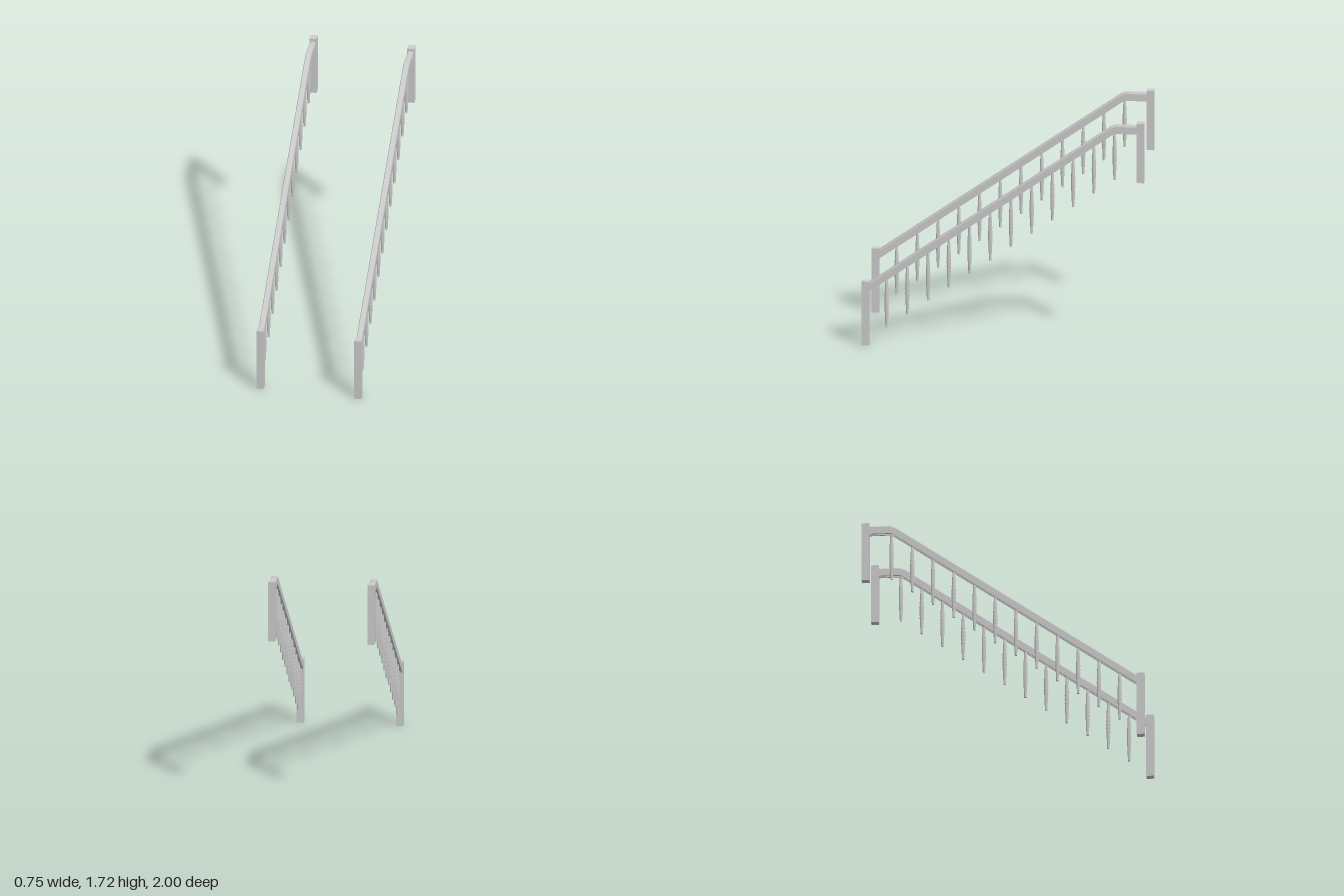
import * as THREE from 'three';
import { toCreasedNormals } from 'three/addons/utils/BufferGeometryUtils.js';

const SIDE_X = 0.351;
const SPINDLES = 12;
const material = new THREE.MeshStandardMaterial({ color: 0xcccccc });

// Underside of the rail, front to back: [z, y]
const railPath = [[0.96, 0.39], [-0.765, 1.622], [-0.78, 1.632], [-0.80, 1.64], [-0.96, 1.64]];

// Half of the rail section from the groove outwards and up: [x, height]
const halfSection = [[0.009, 0.01], [0.009, 0], [0.0205, 0], [0.0205, 0.052], [0.016, 0.06]];

function railHeight(z) {
  for (let i = 0; i < railPath.length - 1; i++) {
    const [z0, y0] = railPath[i], [z1, y1] = railPath[i + 1];
    if (z <= z0 && z >= z1) return y0 + (y1 - y0) * (z0 - z) / (z0 - z1);
  }
  return railPath[0][1];
}

// Sweep the grooved section along the path
function railGeometry() {
  const section = [...halfSection, ...halfSection.map(([x, h]) => [-x, h]).reverse()];
  const n = section.length;
  const positions = [], index = [];
  railPath.forEach(([z, y], i) => {
    const stretch = i < 2 ? 1.08 : 1;
    section.forEach(([x, h]) => positions.push(x, y + h * stretch, z));
  });
  for (let i = 0; i < railPath.length - 1; i++) {
    for (let j = 0; j < n; j++) {
      const a = i * n + j, b = i * n + (j + 1) % n;
      index.push(a, a + n, b, b, a + n, b + n);
    }
  }
  const geometry = new THREE.BufferGeometry();
  geometry.setAttribute('position', new THREE.Float32BufferAttribute(positions, 3));
  geometry.setIndex(index);
  return toCreasedNormals(geometry, 0.4);
}

// Turned spindle: slim ends, swollen middle with fine rings
function spindleGeometry(height) {
  const points = [new THREE.Vector2(0, 0)];
  const steps = 36;
  for (let i = 0; i <= steps; i++) {
    const t = i / steps;
    const swell = Math.pow(Math.sin(Math.PI * t), 1.3);
    const rings = t > 0.3 && t < 0.7 ? 0.001 * Math.cos((t - 0.5) * Math.PI * 25) : 0;
    points.push(new THREE.Vector2(0.0085 + 0.0065 * swell + rings, t * height));
  }
  points.push(new THREE.Vector2(0, height));
  return toCreasedNormals(new THREE.LatheGeometry(points, 10), 0.8);
}

function addMesh(parent, geometry, name, x, y, z) {
  const mesh = new THREE.Mesh(geometry, material);
  mesh.name = name;
  mesh.position.set(x, y, z);
  parent.add(mesh);
}

function createRailing(name) {
  const railing = new THREE.Group();
  railing.name = name;

  // End posts
  addMesh(railing, new THREE.BoxGeometry(0.05, 0.475, 0.054), 'lowerPost', 0, 0.2375, 0.973);
  addMesh(railing, new THREE.BoxGeometry(0.05, 0.442, 0.054), 'upperPost', 0, 1.501, -0.973);

  addMesh(railing, railGeometry(), 'handrail', 0, 0, 0);

  // Spindles climb with the stairs and reach into the rail groove
  for (let i = 0; i < SPINDLES; i++) {
    const t = i / (SPINDLES - 1);
    const z = 0.823 - 1.613 * t;
    const bottom = 0.133 + 1.157 * t;
    addMesh(railing, spindleGeometry(railHeight(z) + 0.014 - bottom), 'spindle', 0, bottom, z);
  }
  return railing;
}

export function createModel() {
  const model = new THREE.Group();
  model.name = 'stairRailings';
  for (const side of [1, -1]) {
    const railing = createRailing(side > 0 ? 'leftRailing' : 'rightRailing');
    railing.position.x = side * SIDE_X;
    model.add(railing);
  }
  return model;
}
